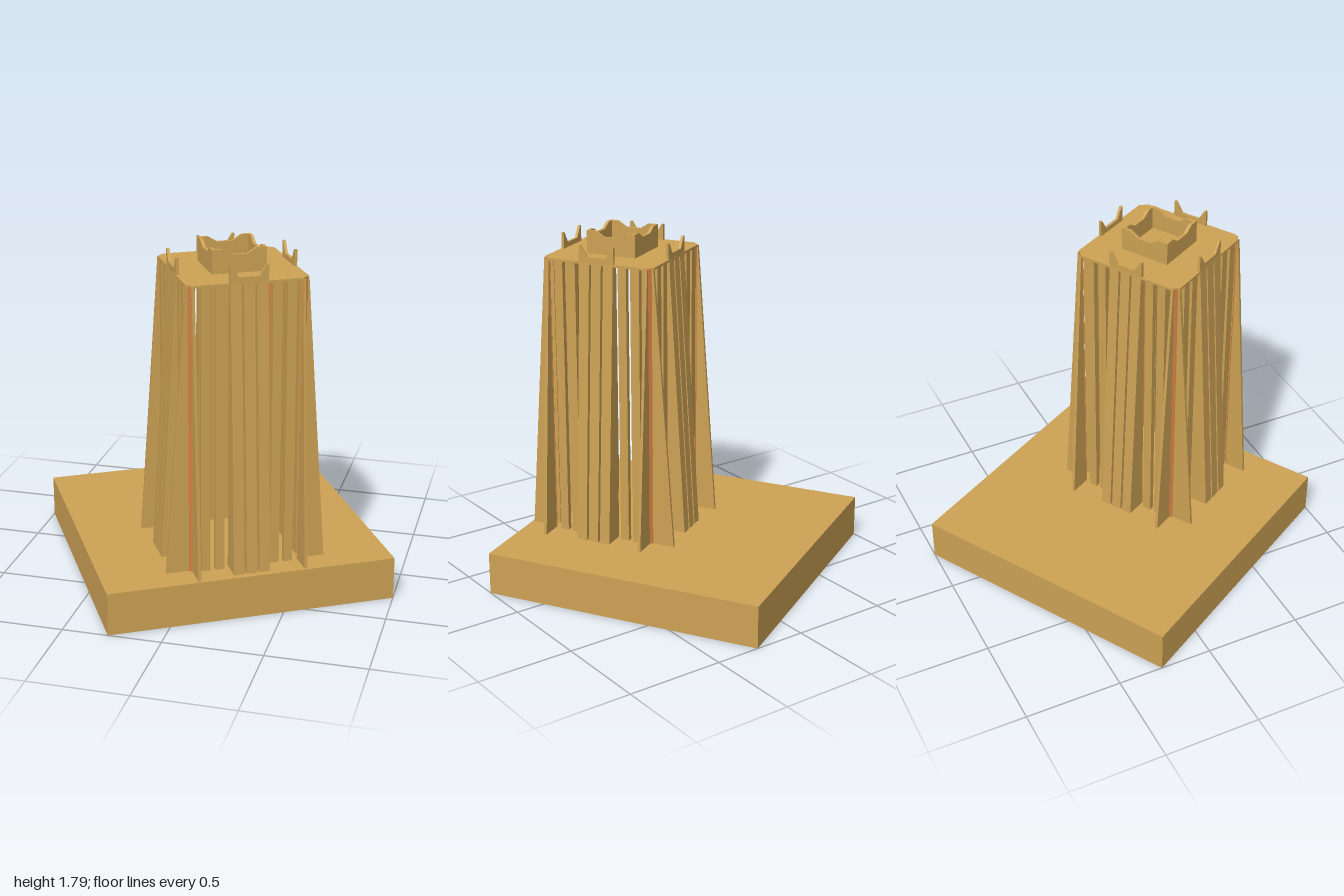
import * as THREE from 'three';

const BASE_TOP = 0.22, ROOF = 1.675, HALF = 0.3;

export function createModel() {
  const model = new THREE.Group();
  model.name = 'towerOnPlinth';

  const sand = new THREE.MeshStandardMaterial({ color: 0xcda255 });
  sand.name = 'sand';
  const copper = new THREE.MeshStandardMaterial({ color: 0xd07f42 });
  copper.name = 'copper';

  const add = (parent, name, geometry, material = sand) => {
    const mesh = new THREE.Mesh(geometry, material);
    mesh.name = name;
    parent.add(mesh);
    return mesh;
  };
  const polygon = (points) => new THREE.Shape(points.map(([x, y]) => new THREE.Vector2(x, y)));
  const extrude = (points, depth) =>
    new THREE.ExtrudeGeometry(polygon(points), { depth, bevelEnabled: false }).translate(0, 0, -depth / 2);

  // Upright pier on the +z face, tapering from `outer` at the foot to the roof edge
  const pier = (x, width, inner, outer) =>
    extrude([[inner, BASE_TOP], [outer, BASE_TOP], [HALF, ROOF - 0.005], [inner, ROOF - 0.005]], width)
      .rotateY(-Math.PI / 2).translate(x, 0, 0);

  // Upright plate with a tapered notch in its top edge
  const notched = (half, low, high, dip, top, bottom, thickness) =>
    extrude([[-half, low], [half, low], [half, high], [top, high], [bottom, dip],
      [-bottom, dip], [-top, high], [-half, high]], thickness);

  // Plinth
  add(model, 'plinth', new THREE.BoxGeometry(1.465, BASE_TOP, 1.465).translate(0, BASE_TOP / 2, 0));

  const tower = new THREE.Group();
  tower.name = 'tower';
  tower.position.z = 0.316;
  model.add(tower);

  // Thin roof slab with cut corners
  const c = 0.265, h = HALF;
  const outline = [[-c, -h], [c, -h], [h, -c], [h, c], [c, h], [-c, h], [-h, c], [-h, -c]];
  add(tower, 'roof', extrude(outline, 0.012).rotateX(-Math.PI / 2).translate(0, ROOF - 0.006, 0));

  // Four identical sides around the hollow core
  for (let i = 0; i < 4; i++) {
    const side = new THREE.Group();
    side.name = 'side';
    side.rotation.y = i * Math.PI / 2;
    tower.add(side);

    // Three sloping buttresses in the middle
    for (const x of [-0.065, 0, 0.065]) add(side, 'buttress', pier(x, 0.054, 0.27, 0.385));

    // Slim straight columns and corner fins, mirrored
    for (const s of [-1, 1]) {
      add(side, 'column', pier(s * 0.14, 0.045, 0.272, HALF));
      add(side, 'column', pier(s * 0.21, 0.045, 0.272, HALF));
      add(side, 'cornerFin', pier(s * 0.27, 0.015, 0.285, 0.405));
    }

    // Copper strip on the cut corner
    const strip = add(side, 'cornerStrip',
      new THREE.BoxGeometry(0.046, ROOF - BASE_TOP - 0.005, 0.012), copper);
    strip.position.set(0.28, (ROOF + BASE_TOP - 0.005) / 2, 0.28);
    strip.rotation.y = Math.PI / 4;

    // Notched parapet over the buttresses
    add(side, 'parapet', notched(0.095, ROOF - 0.006, 1.757, 1.7, 0.085, 0.05, 0.014).translate(0, 0, 0.292));

    // Wall of the square crown
    add(side, 'crownWall', notched(0.134, ROOF - 0.006, 1.793, 1.765, 0.085, 0.04, 0.016).translate(0, 0, 0.126));
  }

  model.rotation.y = Math.PI / 6;
  const root = new THREE.Group();
  root.name = 'model';
  root.add(model);
  return root;
}
